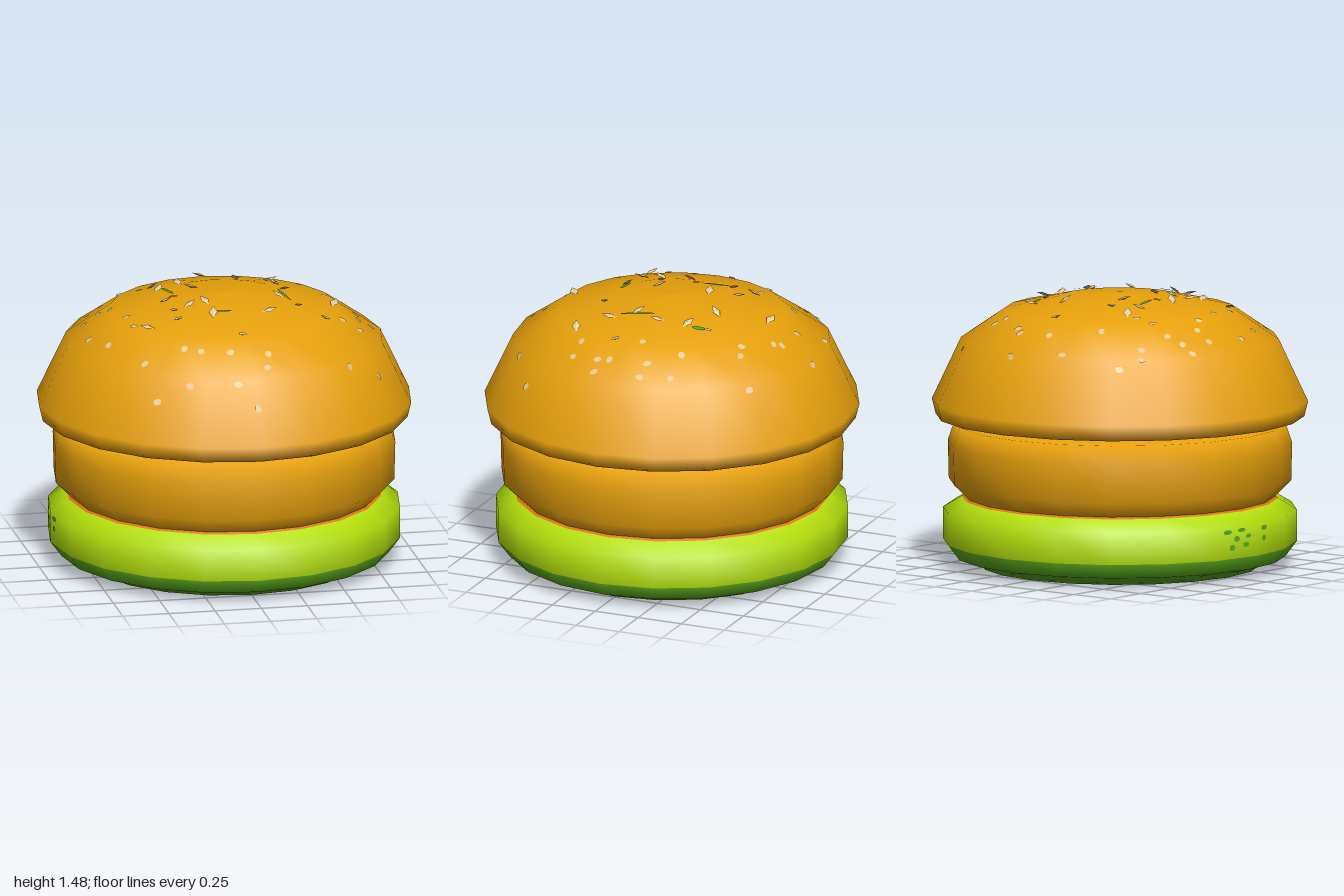
import * as THREE from 'three';

const SIDES = 20;
const HALF = Math.PI / SIDES;

function material(name, color, side = THREE.FrontSide) {
  const m = new THREE.MeshStandardMaterial({ color, side });
  m.name = name;
  return m;
}

// Crown of the bun, from the lower edge to the top (radius, height)
const CROWN = [[0.98, 0.81], [1, 0.89], [0.845, 1.22], [0.61, 1.38], [0.32, 1.445], [0, 1.47]];

// Angle of the middle of the facet that contains phi
const facetMiddle = (phi) => (Math.floor(phi / (2 * HALF)) + 0.5) * 2 * HALF;

// Point and normal on the faceted crown above a given x, z
function onCrown(x, z) {
  const phi = Math.atan2(x, z);
  const mid = facetMiddle(phi);
  const apothem = Math.hypot(x, z) * Math.cos(phi - mid);
  const k = Math.cos(HALF);
  let i = 1;
  while (i < CROWN.length - 2 && CROWN[i + 1][0] * k > apothem) i++;
  const [r0, y0] = CROWN[i], [r1, y1] = CROWN[i + 1];
  const t = (r0 * k - apothem) / ((r0 - r1) * k);
  const out = y1 - y0, up = (r0 - r1) * k;
  const normal = new THREE.Vector3(Math.sin(mid) * out, up, Math.cos(mid) * out).normalize();
  return { point: new THREE.Vector3(x, y0 + (y1 - y0) * t, z), normal };
}

export function createModel() {
  const group = new THREE.Group();
  const bun = material('bun', 0xe6a00b);
  const sauce = material('sauce', 0xdd7a10);
  const lettuce = material('lettuce', 0xb6e20d);
  const leaf = material('leaf', 0x5aaa1c, THREE.DoubleSide);
  const seed = material('seed', 0xe2c898, THREE.DoubleSide);

  function add(name, geometry, mat) {
    const mesh = new THREE.Mesh(geometry, mat);
    mesh.name = name;
    group.add(mesh);
    return mesh;
  }

  // Smooth turned layer; bands gives the material index of each profile span
  function layer(name, profile, mats, bands) {
    const points = profile.map(([r, y]) => new THREE.Vector2(r, y));
    const geometry = new THREE.LatheGeometry(points, SIDES);
    for (let i = 0; i < SIDES; i++) {
      bands.forEach((band, j) => geometry.addGroup((i * bands.length + j) * 6, 6, band));
    }
    add(name, geometry, mats);
  }

  // Stacked layers
  layer('lettuceLayer',
    [[0, 0.005], [0.74, 0.005], [0.75, 0.03], [0.88, 0.06], [0.94, 0.14], [0.94, 0.31], [0.84, 0.37], [0.825, 0.38]],
    [leaf, lettuce, sauce], [0, 0, 0, 0, 1, 1, 2]);
  layer('middleBun',
    [[0.825, 0.38], [0.91, 0.465], [0.915, 0.67], [0.88, 0.77], [0.68, 0.785], [0.64, 0.815]],
    [bun], [0, 0, 0, 0, 0]);
  layer('topBun', [[0, 0.805], [0.65, 0.805], ...CROWN], [bun], [0, 0, 0, 0, 0, 0, 0]);

  const disc = new THREE.CircleGeometry(1, 7);
  const shard = new THREE.OctahedronGeometry(1);
  const front = new THREE.Vector3(0, 0, 1);

  // Leaf patches on the upright face of the rim (degrees, height, half sizes)
  [[-103, 0.285, 0.03, 0.013], [-97, 0.29, 0.028, 0.011], [-86, 0.285, 0.03, 0.014], [-99, 0.245, 0.022, 0.016],
    [-94, 0.255, 0.02, 0.012], [-101, 0.2, 0.02, 0.018], [-95, 0.21, 0.022, 0.014], [-86, 0.23, 0.018, 0.016]]
    .forEach(([degrees, y, w, h]) => {
      const phi = THREE.MathUtils.degToRad(degrees);
      const mid = facetMiddle(phi);
      const d = 0.94 * Math.cos(HALF) + 0.003;
      const side = d * Math.tan(phi - mid);
      const mesh = add('leafPatch', disc, leaf);
      mesh.position.set(
        Math.sin(mid) * d + Math.cos(mid) * side, y,
        Math.cos(mid) * d - Math.sin(mid) * side);
      mesh.rotation.y = mid;
      mesh.scale.set(w, h, 1);
    });

  // Lays a small part on the crown, turned about the surface normal
  function place(name, geometry, mat, x, z, turn, lift, size, tilt = 0) {
    const { point, normal } = onCrown(x, z);
    const mesh = add(name, geometry, mat);
    mesh.position.copy(point).addScaledVector(normal, lift);
    mesh.quaternion.setFromUnitVectors(front, normal);
    mesh.rotateZ(turn);
    mesh.rotateY(tilt);
    mesh.scale.set(...size);
  }

  // Flat seeds on the slopes (x, z)
  [[-0.24, -0.78], [-0.08, -0.69], [0.06, -0.84], [0.12, -0.69], [0.16, -0.66], [-0.33, -0.56],
    [-0.54, -0.67], [-0.61, -0.57], [-0.57, -0.52], [0.39, -0.57], [0.33, -0.55], [0.52, -0.68],
    [-0.75, -0.31], [-0.68, -0.31], [-0.6, -0.34], [-0.5, -0.34], [-0.39, -0.34], [-0.73, -0.15],
    [-0.65, -0.15], [-0.6, -0.08], [-0.75, 0.1], [-0.55, 0.11], [-0.54, 0.26], [-0.68, 0.28],
    [-0.54, 0.56], [-0.51, 0.74], [-0.34, 0.78], [-0.25, 0.63], [-0.33, 0.58], [-0.1, 0.67],
    [-0.09, 0.84], [0, 0.91], [0.1, 0.69], [0.08, 0.77], [0.57, -0.31], [0.71, -0.31],
    [0.68, -0.16], [0.76, -0.15], [0.56, -0.08], [0.7, 0.05], [0.77, 0.11], [0.7, 0.12],
    [0.68, 0.27], [0.59, 0.26], [0.55, 0.64], [0.73, 0.52]]
    .forEach(([x, z], i) => place('flatSeed', disc, seed, x, z, i * 2.4, 0.004, [0.023, 0.018, 1]));

  // Raised seeds on the top (x, z)
  [[-0.02, -0.56], [-0.32, -0.33], [-0.19, -0.3], [0.12, -0.31], [0.32, -0.35], [0.31, -0.23],
    [0.34, -0.07], [-0.31, -0.22], [-0.15, -0.15], [-0.32, 0.04], [-0.13, 0.13], [-0.31, 0.2],
    [-0.22, 0.16], [-0.48, 0.33], [-0.31, 0.31], [-0.12, 0.31], [-0.01, 0.57], [0.18, 0.31],
    [0.28, 0.07], [0.36, 0.2], [0.58, 0.07], [0.48, 0.34]]
    .forEach(([x, z], i) => place('raisedSeed', shard, seed, x, z, i * 2.4, 0.013, [0.042, 0.024, 0.007], 0.35));

  // Slivers of leaf and a spot of sauce among the raised seeds
  place('leafSliver', disc, leaf, -0.28, -0.13, -1.25, 0.008, [0.08, 0.012, 1]);
  place('leafSliver', disc, leaf, 0.325, -0.3, 1.57, 0.008, [0.04, 0.018, 1]);
  place('leafSliver', disc, leaf, 0.312, 0.06, 1.57, 0.008, [0.1, 0.01, 1]);
  place('leafSliver', disc, leaf, -0.07, 0.3, -0.1, 0.008, [0.055, 0.012, 1]);
  place('sauceSpot', disc, sauce, -0.27, -0.02, 0, 0.006, [0.025, 0.018, 1]);

  return group;
}
